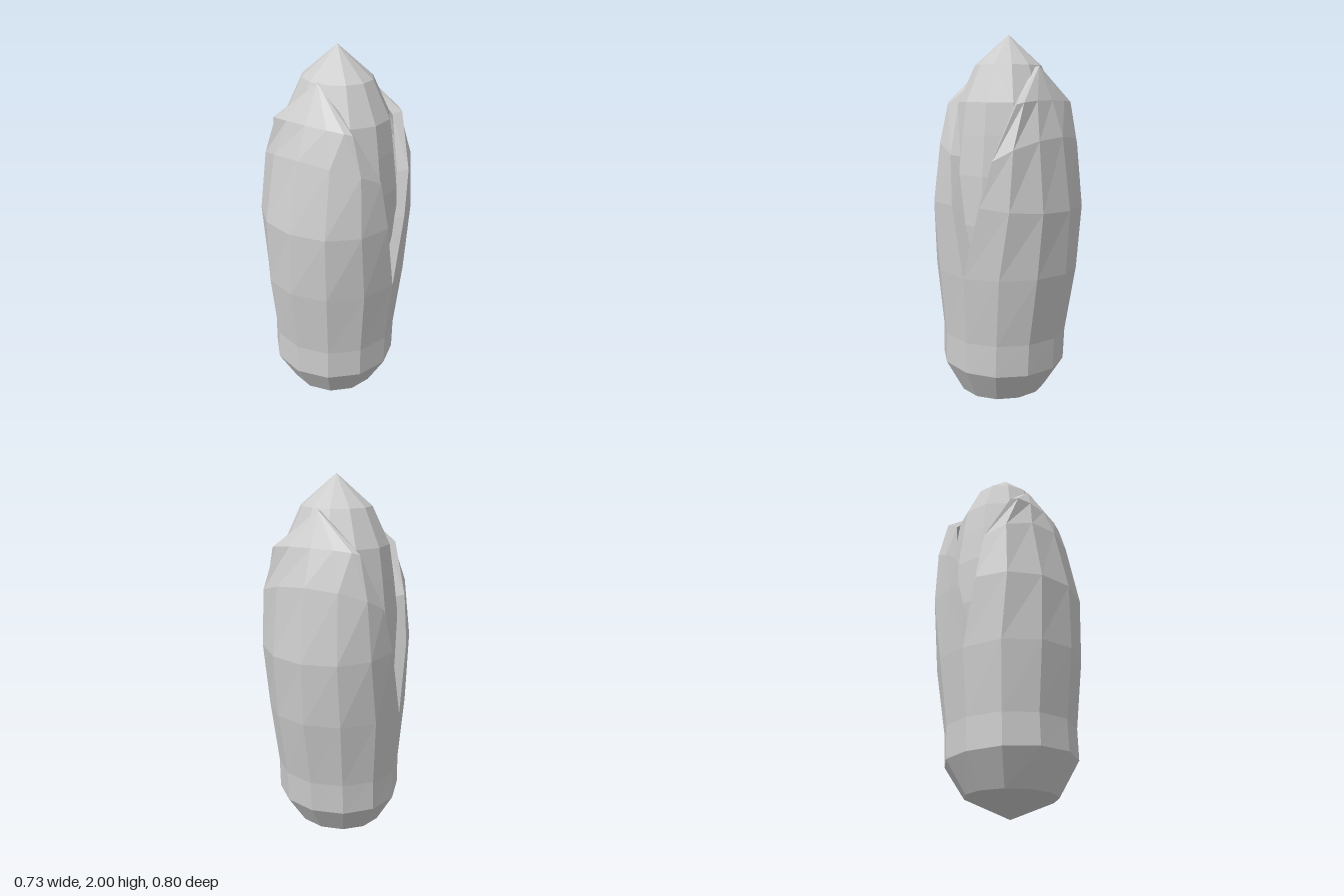
import * as THREE from 'three';

// Rows of a petal from bottom to top:
// [height at middle, height at edge, edge x, edge z, middle z]
const FRONT = [
  [0.00, 0.00, 0.00, 0.02, 0.02],
  [0.10, 0.10, 0.24, 0.02, 0.26],
  [0.28, 0.265, 0.335, 0.01, 0.365],
  [0.44, 0.43, 0.335, 0.01, 0.36],
  [0.80, 0.78, 0.365, 0.00, 0.40],
  [1.15, 1.15, 0.365, 0.07, 0.40],
  [1.51, 1.40, 0.335, 0.10, 0.32],
  [1.67, 1.65, 0.235, 0.20, 0.255],
  [1.85, 1.85, 0.00, 0.15, 0.15],
];
const BACK = [
  [0.00, 0.00, 0.00, 0.02, 0.02],
  [0.10, 0.10, 0.24, 0.02, -0.20],
  [0.26, 0.265, 0.335, 0.01, -0.305],
  [0.43, 0.43, 0.335, 0.01, -0.315],
  [0.79, 0.78, 0.365, 0.00, -0.38],
  [1.12, 1.15, 0.36, -0.10, -0.40],
  [1.49, 1.38, 0.335, -0.165, -0.35],
  [1.67, 1.65, 0.24, -0.24, -0.285],
  [1.84, 1.84, 0.00, -0.205, -0.205],
];
const HALF = 3; // facets on each side of a petal's middle line
const NOTCH = 4; // row where the two petals part

const material = new THREE.MeshStandardMaterial({
  color: 0xcccccc, flatShading: true, side: THREE.DoubleSide,
});

function petal(name, rows, side) {
  const position = [];
  const triangle = (...points) => points.forEach((p) => position.push(p.x, p.y, p.z));
  const grid = rows.map(([midY, edgeY, edgeX, edgeZ, midZ]) => {
    const row = [];
    for (let i = -HALF; i <= HALF; i++) {
      const a = (i / HALF) * Math.PI / 2;
      const c = Math.cos(a);
      row.push(new THREE.Vector3(
        side * edgeX * Math.sin(a),
        edgeY + (midY - edgeY) * c,
        edgeZ + (midZ - edgeZ) * c,
      ));
    }
    return row;
  });

  // Outer skin
  for (let r = 0; r < grid.length - 1; r++) {
    for (let i = 0; i < 2 * HALF; i++) {
      const [a, b, c, d] = [grid[r][i], grid[r][i + 1], grid[r + 1][i + 1], grid[r + 1][i]];
      if (r > 0) triangle(a, b, c);
      else triangle(a, c, d);
      if (r > 0 && r < grid.length - 2) triangle(a, c, d);
    }
  }

  // Rim that turns inward to meet the bud
  const inward = (p) => new THREE.Vector3(p.x * 0.87, p.y - 0.01, p.z - side * 0.04);
  for (const i of [0, 2 * HALF]) {
    for (let r = NOTCH; r < grid.length - 1; r++) {
      const a = grid[r][i], b = grid[r + 1][i];
      const c = inward(b), d = inward(a);
      if (i === 0) { triangle(a, b, c); triangle(a, c, d); }
      else { triangle(a, c, b); triangle(a, d, c); }
    }
  }

  const geometry = new THREE.BufferGeometry();
  geometry.setAttribute('position', new THREE.Float32BufferAttribute(position, 3));
  geometry.computeVertexNormals();
  const mesh = new THREE.Mesh(geometry, material);
  mesh.name = name;
  return mesh;
}

export function createModel() {
  const group = new THREE.Group();
  group.name = 'flowerBud';

  // Inner bud, slightly flattened from front to back
  const profile = [
    [0, 0.2], [0.24, 0.35], [0.31, 0.7], [0.335, 1.05], [0.325, 1.3],
    [0.3, 1.5], [0.275, 1.66], [0.185, 1.845], [0, 2],
  ].map(([r, y]) => new THREE.Vector2(r, y));
  const bud = new THREE.Mesh(new THREE.LatheGeometry(profile, 12, Math.PI / 12), material);
  bud.scale.z = 0.9;
  bud.position.z = -0.012;
  bud.name = 'innerBud';

  group.add(bud, petal('frontPetal', FRONT, 1), petal('backPetal', BACK, -1));
  return group;
}
